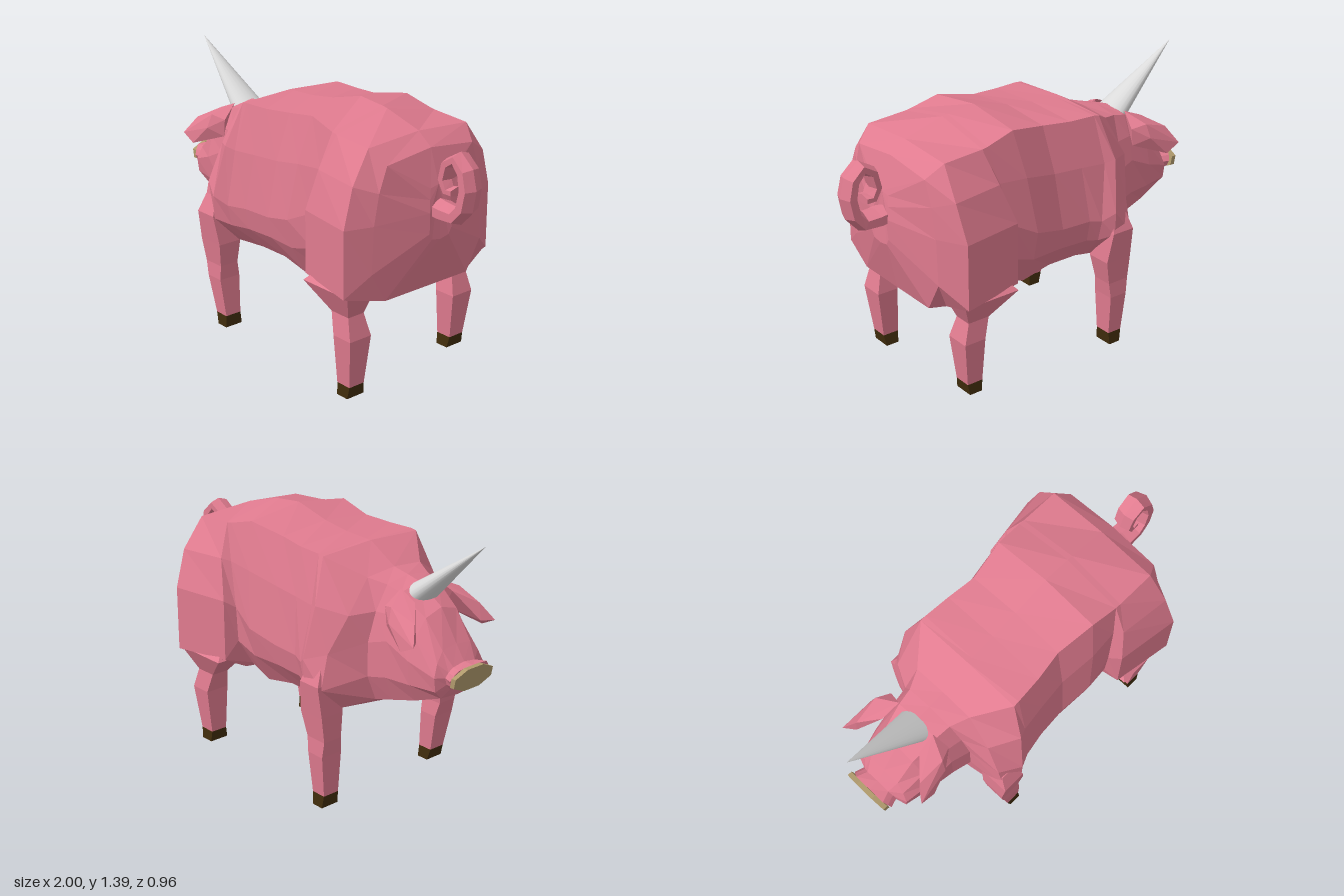
import * as THREE from 'three';
import { ConvexGeometry } from 'three/addons/geometries/ConvexGeometry.js';

const { lerp } = THREE.MathUtils;

const material = (name, color) => {
  const m = new THREE.MeshStandardMaterial({ color });
  m.name = name;
  return m;
};

// Joins rings of [x, y, z] points, each counter-clockwise about the direction of travel, and caps both ends.
function loft(rings) {
  const pos = [];
  const n = rings[0].length;
  const tri = (a, b, c) => pos.push(...a, ...b, ...c);
  for (let i = 0; i < rings.length - 1; i++) {
    for (let j = 0; j < n; j++) {
      const k = (j + 1) % n;
      const a = rings[i][j], b = rings[i][k], c = rings[i + 1][k], d = rings[i + 1][j];
      tri(a, b, c);
      tri(a, c, d);
    }
  }
  const first = rings[0], last = rings[rings.length - 1];
  for (let j = 1; j < n - 1; j++) {
    tri(first[0], first[j + 1], first[j]);
    tri(last[0], last[j], last[j + 1]);
  }
  const g = new THREE.BufferGeometry();
  g.setAttribute('position', new THREE.Float32BufferAttribute(pos, 3));
  g.computeVertexNormals();
  return g;
}

// Body section: top, ridge, upper side, middle, lower side, belly edge, belly, then mirrored.
// The last value moves the right flank along x, for the walking pose.
function bodyRing([xTop, xSide, top, ridgeY, ridgeZ, midY, midZ, lowY, lowZ, edgeY, belly, step = 0]) {
  const half = [
    [xTop, ridgeY, ridgeZ],
    [(xTop + xSide) / 2, lerp(ridgeY, midY, 0.45), lerp(ridgeZ, midZ, 0.62)],
    [xSide, midY, midZ],
    [xSide, lowY, lowZ],
    [xSide, edgeY, Math.min(0.3, lowZ * 0.76)],
  ];
  const other = half.map(([x, y, z], i) => [x + (i > 1 ? step : 0), y, -z]).reverse();
  return [[xTop, top, 0], ...half, [xSide, belly, 0], ...other];
}

export function createModel() {
  const group = new THREE.Group();
  const pink = material('pinkSkin', 0xe07b8f);
  const tan = material('tanSnout', 0xb09a6c);
  const brown = material('brownHoof', 0x402c0c);
  const grey = material('greyHorn', 0xdadada);
  pink.flatShading = tan.flatShading = brown.flatShading = true;

  const add = (name, geometry, mat) => {
    const mesh = new THREE.Mesh(geometry, mat);
    mesh.name = name;
    group.add(mesh);
    return mesh;
  };

  // Head, from muzzle to neck
  const head = [
    [-0.945, -0.925, 0.82, 0.815, 0.09, 0.765, 0.125, 0.735, 0.11, 0.715, 0.71],
    [-0.89, -0.88, 0.82, 0.81, 0.07, 0.765, 0.11, 0.73, 0.10, 0.70, 0.69],
    [-0.84, -0.86, 0.89, 0.88, 0.09, 0.77, 0.16, 0.70, 0.15, 0.66, 0.65],
    [-0.74, -0.72, 1.04, 1.01, 0.10, 0.82, 0.19, 0.70, 0.18, 0.61, 0.58],
    [-0.60, -0.59, 1.125, 1.10, 0.12, 0.88, 0.20, 0.70, 0.20, 0.575, 0.55],
    [-0.52, -0.49, 1.14, 1.12, 0.13, 0.85, 0.22, 0.68, 0.22, 0.55, 0.52],
  ];
  // Trunk, from neck to rump
  const trunk = [
    head[head.length - 1],
    [-0.43, -0.46, 1.155, 1.14, 0.17, 0.80, 0.38, 0.63, 0.42, 0.51, 0.50, 0.07],
    [-0.27, -0.35, 1.245, 1.23, 0.30, 0.76, 0.435, 0.64, 0.43, 0.50, 0.48, 0.07],
    [-0.24, -0.28, 1.245, 1.235, 0.30, 0.72, 0.40, 0.61, 0.375, 0.50, 0.48, 0.06],
    [-0.10, -0.16, 1.25, 1.235, 0.29, 0.73, 0.38, 0.62, 0.36, 0.505, 0.49],
    [0.05, 0, 1.27, 1.245, 0.27, 0.73, 0.37, 0.62, 0.35, 0.50, 0.46],
    [0.25, 0.17, 1.32, 1.28, 0.30, 0.77, 0.39, 0.62, 0.36, 0.47, 0.415],
    [0.40, 0.32, 1.305, 1.24, 0.31, 0.84, 0.37, 0.66, 0.36, 0.52, 0.46, -0.02],
    [0.43, 0.35, 1.30, 1.235, 0.31, 0.88, 0.43, 0.57, 0.43, 0.50, 0.47, -0.03],
    [0.64, 0.67, 1.24, 1.22, 0.31, 0.88, 0.48, 0.55, 0.48, 0.50, 0.49, -0.03],
    [0.72, 0.715, 1.18, 1.15, 0.27, 0.88, 0.34, 0.65, 0.35, 0.50, 0.50],
    [0.775, 0.795, 1.02, 1.01, 0.05, 0.90, 0.07, 0.80, 0.07, 0.77, 0.76],
  ];
  add('head', loft(head.map(bodyRing)), pink);
  add('trunk', loft(trunk.map(bodyRing)), pink);

  // Snout disc, a flat tilted octagon
  const discRing = (x) => Array.from({ length: 8 }, (_, i) => {
    const a = ((i + 0.5) / 8) * Math.PI * 2;
    const dy = Math.cos(a) * 0.06;
    return [x - dy * 0.2, 0.765 + dy, Math.sin(a) * 0.132 - 0.01];
  });
  add('snout', loft([discRing(-0.96), discRing(-0.935)]), tan);

  // Ears, thick and folded forward and outward
  for (const [side, offset] of [[1, 0], [-1, 0.02]]) {
    const corners = [
      [-0.60, 1.12, 0.10], [-0.58, 1.05, 0.18], [-0.59, 0.96, 0.18], [-0.70, 1.08, 0.11],
      [-0.79, 1.025, 0.20], [-0.84, 0.94, 0.255], [-0.76, 0.90, 0.255], [-0.66, 1.00, 0.235],
      [-0.80, 0.94, 0.20], [-0.65, 1.07, 0.21],
    ];
    add(side > 0 ? 'leftEar' : 'rightEar',
      new ConvexGeometry(corners.map(([x, y, z]) => new THREE.Vector3(x, y, (z + offset) * side))), pink);
  }

  // Horn, wider than it is deep, with its base sunk in the head
  const base = new THREE.Vector3(-0.61, 1.07, 0);
  const axis = new THREE.Vector3(-1, 1.39, -0.01).sub(base);
  const horn = add('horn', new THREE.ConeGeometry(0.092, axis.length(), 20), grey);
  horn.position.copy(base).addScaledVector(axis, 0.5);
  horn.quaternion.setFromUnitVectors(new THREE.Vector3(0, 1, 0), axis.clone().normalize());
  horn.scale.x = 0.65;

  // Legs: rows of height, front and back x, inner and outer z, from the ground up
  const frontRows = [
    [0, -0.365, -0.30, 0.295, 0.395], [0.065, -0.375, -0.295, 0.30, 0.39],
    [0.28, -0.385, -0.285, 0.29, 0.41], [0.36, -0.395, -0.275, 0.30, 0.405],
    [0.49, -0.395, -0.245, 0.29, 0.42], [0.65, -0.39, -0.265, 0.28, 0.44],
    [0.74, -0.37, -0.29, 0.25, 0.40],
  ];
  const rearRows = [
    [0, 0.535, 0.605, 0.29, 0.395], [0.06, 0.53, 0.615, 0.30, 0.39],
    [0.31, 0.53, 0.645, 0.285, 0.415], [0.42, 0.50, 0.615, 0.305, 0.40],
    [0.55, 0.37, 0.675, 0.29, 0.46], [0.61, 0.42, 0.64, 0.25, 0.40],
  ];
  function addLeg(name, rows, side, lift, shiftLow, shiftHigh) {
    const rings = rows.map(([y, x0, x1, zin, zout]) => {
      const dx = lerp(shiftLow, shiftHigh, Math.min(1, y / 0.5));
      const [z0, z1] = side > 0 ? [zin, zout] : [-zout, -zin];
      const h = y + lift * Math.max(0, 1 - y / 0.6);
      return [[x0 + dx, h, z1], [x1 + dx, h, z1], [x1 + dx, h, z0], [x0 + dx, h, z0]];
    });
    add(name + 'Hoof', loft(rings.slice(0, 2)), brown);
    add(name + 'Leg', loft(rings.slice(1)), pink);
  }
  addLeg('frontLeft', frontRows, 1, 0.04, -0.025, -0.085);
  addLeg('frontRight', frontRows, -1, 0, 0, 0);
  addLeg('rearLeft', rearRows, 1, 0, 0, 0);
  addLeg('rearRight', rearRows, -1, 0.04, -0.025, -0.03);

  // Curled tail, a tapering six-sided tube
  const path = [
    [0.75, 0.91], [0.82, 0.90], [0.90, 0.90], [0.945, 0.95], [0.963, 1.04], [0.945, 1.12],
    [0.895, 1.17], [0.84, 1.135], [0.82, 1.06], [0.845, 1.01], [0.885, 1.01],
  ];
  const tail = path.map(([x, y], i) => {
    const p = path[Math.max(0, i - 1)], q = path[Math.min(path.length - 1, i + 1)];
    const len = Math.hypot(q[0] - p[0], q[1] - p[1]);
    const nx = -(q[1] - p[1]) / len, ny = (q[0] - p[0]) / len;
    const t = i / (path.length - 1);
    const thick = 0.047 - 0.024 * t, wide = 0.072 - 0.022 * t;
    return Array.from({ length: 6 }, (_, j) => {
      const a = (j / 6) * Math.PI * 2;
      const u = Math.cos(a) * thick;
      return [x + nx * u, y + ny * u, Math.sin(a) * wide - 0.007];
    });
  });
  add('tail', loft(tail), pink);

  return group;
}
